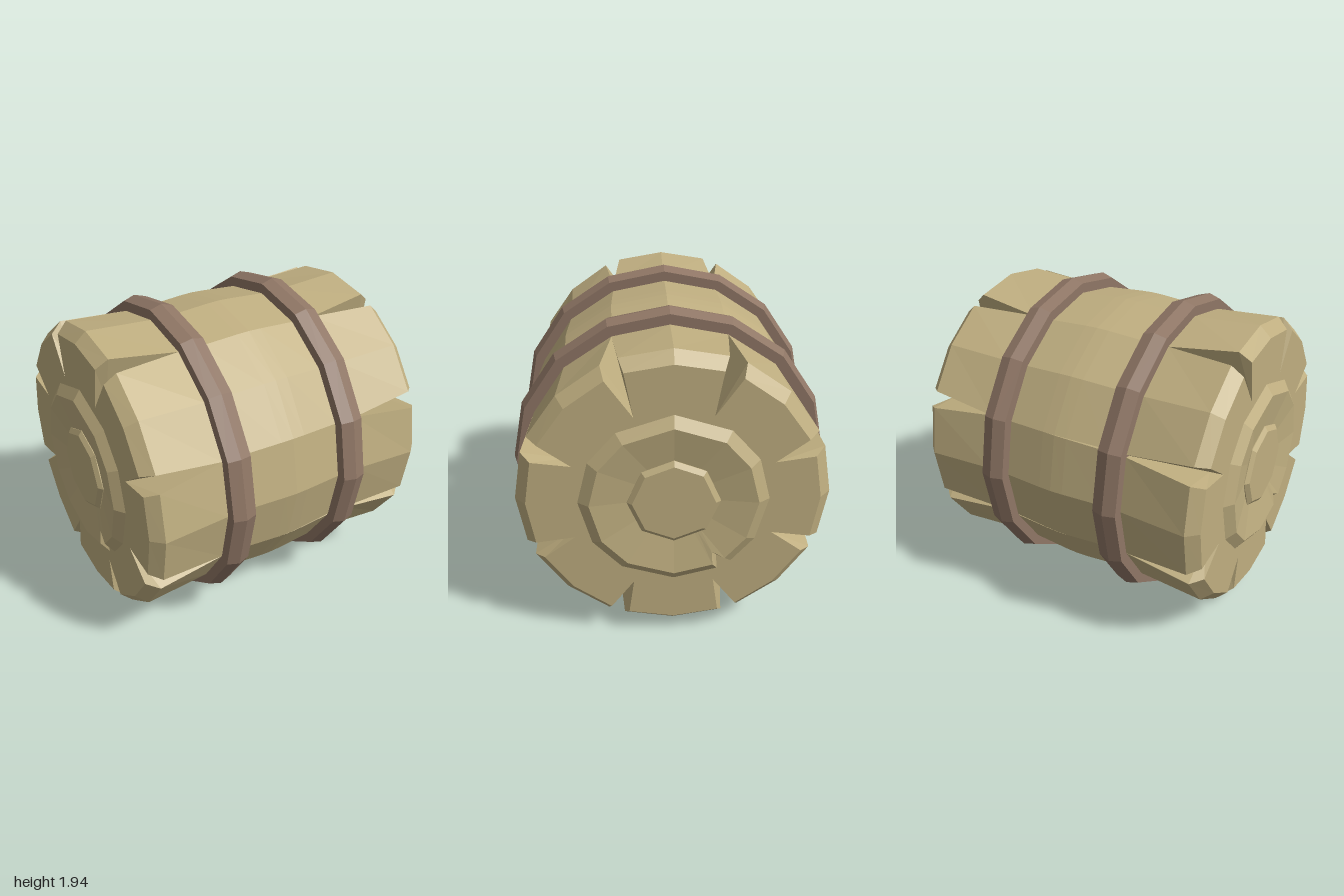
import * as THREE from 'three';

const AXIS_Y = 0.97;
const wood = new THREE.MeshStandardMaterial({ color: 0xbfae80, flatShading: true });
const band = new THREE.MeshStandardMaterial({ color: 0x8f7665, flatShading: true });

// Point at angle deg around the x axis (0 = up, 90 = +z)
function polar(x, r, deg) {
  const a = THREE.MathUtils.degToRad(deg);
  return new THREE.Vector3(x, r * Math.cos(a), r * Math.sin(a));
}

// Skin a row of closed rings running along +x, with a fan cap at each end
function loft(rings) {
  const pos = [];
  const tri = (a, b, c) => {
    const area = b.clone().sub(a).cross(c.clone().sub(a)).length();
    if (area > 1e-7) for (const p of [a, b, c]) pos.push(p.x, p.y, p.z);
  };
  const n = rings[0].length;
  const first = rings[0], last = rings[rings.length - 1];
  const c0 = new THREE.Vector3(first[0].x, 0, 0);
  const c1 = new THREE.Vector3(last[0].x, 0, 0);
  for (let j = 0; j < n; j++) {
    const k = (j + 1) % n;
    for (let i = 0; i < rings.length - 1; i++) {
      tri(rings[i][j], rings[i][k], rings[i + 1][k]);
      tri(rings[i][j], rings[i + 1][k], rings[i + 1][j]);
    }
    tri(c0, first[k], first[j]);
    tri(c1, last[j], last[k]);
  }
  const g = new THREE.BufferGeometry();
  g.setAttribute('position', new THREE.Float32BufferAttribute(pos, 3));
  g.computeVertexNormals();
  return g;
}

// How far a split has opened (0..1) at distance x towards its own end
function splitOpening(x, long) {
  if (x >= 0.47) {
    const start = long ? 0.13 : 0;
    return start + (1 - start) * (x - 0.47) / (0.955 - 0.47);
  }
  return long ? 0.13 * Math.max(0, (x + 0.08) / 0.55) : 0;
}

// Sixteen-sided log with eight wedge splits at each end
function bodyGeometry() {
  const half = [[0.08, 0.9], [0.33, 0.882], [0.47, 0.882], [0.885, 0.91], [0.955, 0.845]];
  const stations = [...half.map(([x, r]) => [-x, r]).reverse(), [0, 0.903], ...half];
  const longSplits = { '1': [2, 5], '-1': [6] };
  return loft(stations.map(([x, r]) => {
    const ring = [];
    for (let k = 0; k < 8; k++) {
      const a = 22.5 + 45 * k;
      const t = Math.max(...[1, -1].map(s => splitOpening(s * x, longSplits[s].includes(k))));
      const tip = k === 0 || k === 7 ? 0.58 : 0.62;
      const w = 3.9 * t;
      ring.push(
        polar(x, r, 45 * k),
        polar(x, r, a - w),
        polar(x, t > 0 ? Math.min(r, THREE.MathUtils.lerp(0.88, tip, t)) : r, a),
        polar(x, r, a + w));
    }
    return ring;
  }));
}

// Raised end ring with a dished middle and one small nick in its rim
function endRingGeometry() {
  const angles = [0, 36, 62, 90, 120, 146, 180, 208, 213, 218, 240, 270, 298, 324];
  const profile = [[0.93, 0.55], [0.955, 0.55], [1, 0.485], [0.962, 0.25]];
  return loft(profile.map(([x, r], i) => angles.map(a => {
    const nick = a === 213 && i < 3;
    return polar(nick && i === 2 ? 0.99 : x, nick ? r * 0.84 : r, a);
  })));
}

// Eight-sided heart of the end grain
function heartGeometry() {
  const angles = [0, 43, 90, 136, 180, 224, 270, 317];
  return loft([[0.95, 0.27], [0.968, 0.27], [0.99, 0.24]]
    .map(([x, r]) => angles.map(a => polar(x, r, a))));
}

// Band with a ridged outer face
function hoopGeometry() {
  const profile = [[0.84, -0.075], [0.945, -0.075], [0.968, 0], [0.945, 0.075], [0.84, 0.075]];
  const g = new THREE.LatheGeometry(profile.map(p => new THREE.Vector2(...p)), 16)
    .rotateZ(Math.PI / 2).toNonIndexed();
  g.computeVertexNormals();
  return g;
}

export function createModel() {
  const model = new THREE.Group();
  model.name = 'bandedLog';
  const add = (parent, name, geometry, material) => {
    const mesh = new THREE.Mesh(geometry, material);
    mesh.name = name;
    parent.add(mesh);
    return mesh;
  };

  add(model, 'logBody', bodyGeometry(), wood).position.y = AXIS_Y;

  // Both ends share the same pieces, turned half a circle
  const ring = endRingGeometry(), heart = heartGeometry(), hoop = hoopGeometry();
  for (const [side, sign] of [['left', 1], ['right', -1]]) {
    const end = new THREE.Group();
    end.name = side + 'End';
    end.position.y = AXIS_Y;
    end.rotation.y = sign > 0 ? 0 : Math.PI;
    add(end, side + 'EndRing', ring, wood);
    add(end, side + 'EndHeart', heart, wood);
    model.add(end);
    add(model, side + 'Hoop', hoop, band).position.set(sign * 0.395, AXIS_Y, 0);
  }
  return model;
}
